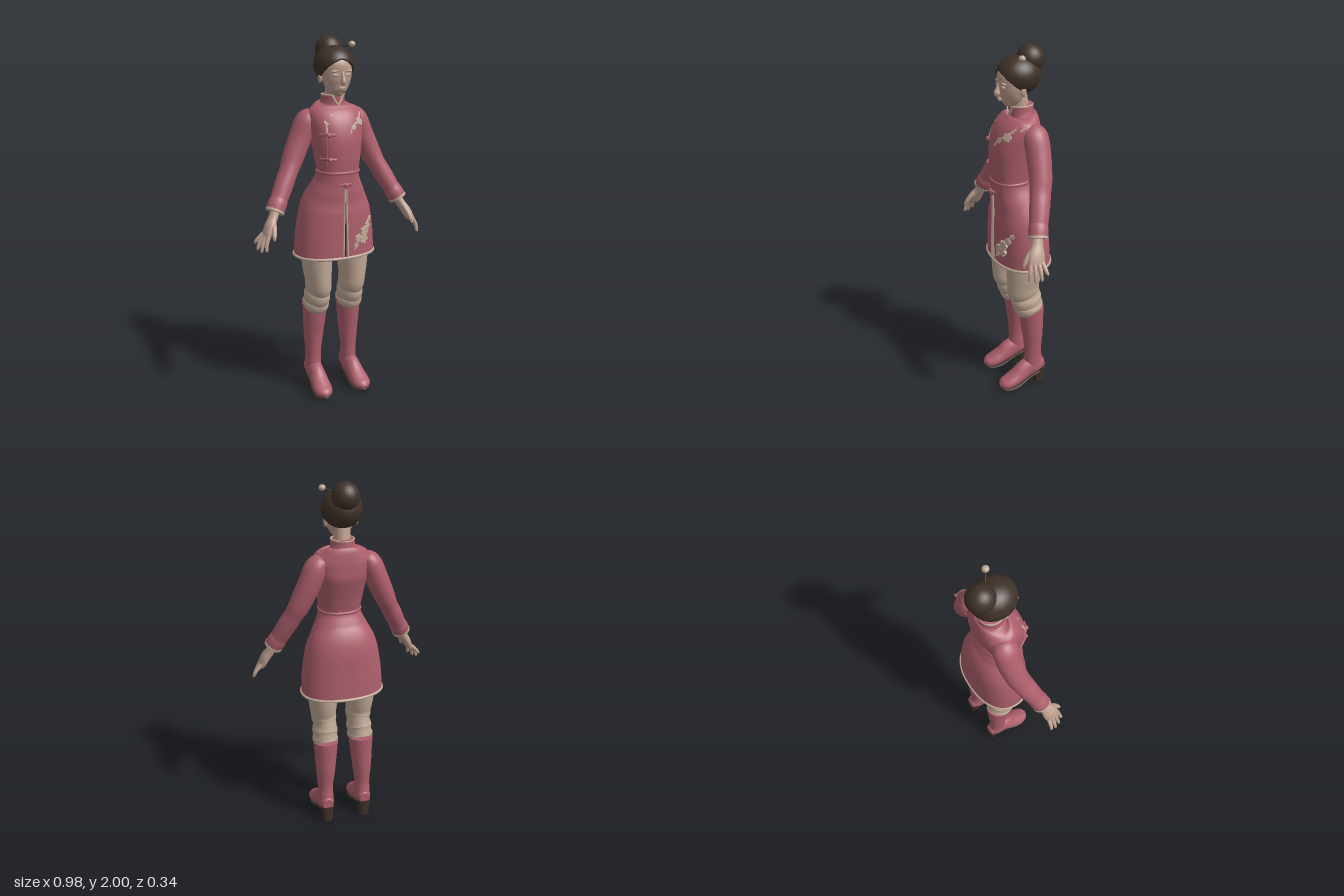
import * as THREE from 'three';

const mat = (name, color, side = THREE.FrontSide) => {
  const m = new THREE.MeshStandardMaterial({ color, side });
  m.name = name;
  return m;
};
const V = (x, y, z) => new THREE.Vector3(x, y, z);

// Smoothly resample sections [x, y, z, radiusAcross, radiusAlongRef]
function resample(sections, steps) {
  const centre = new THREE.CatmullRomCurve3(sections.map(s => V(s[0], s[1], s[2])), false, 'catmullrom', 0.5);
  const radius = new THREE.CatmullRomCurve3(sections.map(s => V(s[3], s[4], 0)), false, 'catmullrom', 0.5);
  return Array.from({ length: steps + 1 }, (_, i) => {
    const t = i / steps, r = radius.getPoint(t);
    return { c: centre.getPoint(t), t: centre.getTangent(t), a: r.x, b: r.y };
  });
}

// Capped skin over elliptical sections; e < 1 squares the ellipse
function loft(sections, { ref = V(0, 0, 1), sides = 28, steps = sections.length * 5, e = 1 } = {}) {
  const rows = resample(sections, steps);
  const first = rows[0], last = rows[steps];
  const all = [{ ...first, a: 0, b: 0 }, first, ...rows, last, { ...last, a: 0, b: 0 }];
  const pos = [], idx = [];
  const pw = v => Math.sign(v) * Math.abs(v) ** e;
  all.forEach((r, i) => {
    const n = ref.clone().addScaledVector(r.t, -ref.dot(r.t)).normalize();
    const across = n.clone().cross(r.t);
    for (let j = 0; j < sides; j++) {
      const q = (j / sides) * Math.PI * 2;
      const p = r.c.clone().addScaledVector(across, r.a * pw(Math.cos(q))).addScaledVector(n, r.b * pw(Math.sin(q)));
      pos.push(p.x, p.y, p.z);
      if (i < all.length - 1) {
        const k = (j + 1) % sides, A = i * sides, B = A + sides;
        idx.push(A + j, A + k, B + k, A + j, B + k, B + j);
      }
    }
  });
  const g = new THREE.BufferGeometry();
  g.setAttribute('position', new THREE.Float32BufferAttribute(pos, 3));
  g.setIndex(idx);
  g.computeVertexNormals();
  return g;
}

export function createModel() {
  const group = new THREE.Group();
  const coat = mat('coat rose', 0xad5f6c), cream = mat('cream cloth', 0xbfa895);
  const skin = mat('skin', 0xbd9f8e), brown = mat('dark brown', 0x3e3128);
  const add = (name, geo, material) => {
    const m = new THREE.Mesh(geo, material);
    m.name = name;
    group.add(m);
    return m;
  };
  const ball = (name, p, s, material) => {
    const m = add(name, new THREE.SphereGeometry(1, 24, 16), material);
    m.position.set(...p);
    m.scale.set(...s);
    return m;
  };
  const tube = (name, pts, r, material, closed = false) =>
    add(name, new THREE.TubeGeometry(new THREE.CatmullRomCurve3(pts, closed), closed ? 64 : 24, r, 8, closed), material);

  // Coat body
  const coatSections = [
    [0, 0.82, -0.01, 0.23, 0.155], [0, 0.95, -0.007, 0.222, 0.15], [0, 1.1, -0.002, 0.195, 0.142],
    [0, 1.2, 0.022, 0.15, 0.118], [0, 1.28, 0.037, 0.115, 0.102], [0, 1.36, 0.035, 0.122, 0.11],
    [0, 1.46, 0.022, 0.137, 0.122], [0, 1.54, 0, 0.15, 0.12], [0, 1.6, -0.022, 0.15, 0.097],
    [0, 1.635, -0.032, 0.115, 0.077], [0, 1.655, -0.03, 0.07, 0.06]];
  const E = 0.88;
  add('coat', loft(coatSections, { sides: 56, steps: 70, e: E }), coat);

  // Point on the coat front at a given x and y, lifted by d
  const rows = resample(coatSections, 200);
  const rowAt = y => rows.reduce((p, r) => (Math.abs(r.c.y - y) < Math.abs(p.c.y - y) ? r : p));
  const front = (x, y, d = 0) => {
    const r = rowAt(y), u = Math.min(Math.abs(x / r.a), 0.96);
    return V(x, y, r.c.z + r.b * (1 - u ** (2 / E)) ** (E / 2) + d);
  };
  const around = (y, grow) => {
    const r = rowAt(y), pw = v => Math.sign(v) * Math.abs(v) ** E;
    return Array.from({ length: 40 }, (_, i) => {
      const q = (i / 40) * Math.PI * 2;
      return V((r.a + grow) * pw(Math.cos(q)), y, r.c.z + (r.b + grow) * pw(Math.sin(q)));
    });
  };
  tube('hemTrim', around(0.825, 0), 0.008, cream, true);
  tube('waistSeam', around(1.295, -0.002), 0.009, coat, true);

  // Front slit with a trimmed edge on each side
  const line = (f, y0, y1, d) => Array.from({ length: 10 }, (_, i) => front(f(i / 9), y0 + (y1 - y0) * i / 9, d));
  tube('slitGap', line(() => 0, 1.2, 0.825, -0.002), 0.005, brown);
  for (const s of [-1, 1]) tube('slitTrim', line(t => s * (0.004 + 0.01 * t), 1.21, 0.825, 0.001), 0.006, cream);

  // Collar and side opening
  add('collar', loft([[0, 1.63, -0.028, 0.078, 0.072], [0, 1.66, -0.025, 0.066, 0.067], [0, 1.695, -0.022, 0.062, 0.066]]), coat);
  const rim = new THREE.TorusGeometry(1, 0.08, 8, 40);
  const collarTrim = add('collarTrim', rim, cream);
  collarTrim.rotation.x = Math.PI / 2;
  collarTrim.position.set(0, 1.695, -0.022);
  collarTrim.scale.set(0.06, 0.064, 0.06);
  for (const s of [-1, 1])
    tube('collarEdge', [V(s * 0.03, 1.695, 0.036), V(s * 0.018, 1.67, 0.042), V(s * 0.004, 1.645, 0.046)], 0.007, cream);
  tube('openingTrim', [[0, 1.64], [-0.04, 1.615], [-0.075, 1.59], [-0.092, 1.55], [-0.095, 1.51]].map(p => front(...p, 0.002)), 0.008, cream);
  tube('openingSeam', line(() => -0.095, 1.51, 1.31, -0.001), 0.004, coat);

  // Knot fastenings
  for (const [x, y, m] of [[-0.09, 1.5, coat], [-0.085, 1.37, coat], [0, 1.232, coat], [-0.06, 1.595, cream]]) {
    tube('knotLoop', [front(x - 0.033, y, 0.002), front(x, y + 0.005, 0.008), front(x + 0.033, y, 0.002)], 0.008, m);
    ball('knotButton', front(x, y, 0.012).toArray(), [0.012, 0.012, 0.01], m);
  }

  // Blossom sprays
  const petals = new THREE.Shape(Array.from({ length: 40 }, (_, i) => {
    const q = (i / 40) * Math.PI * 2, r = 0.65 + 0.35 * Math.abs(Math.cos(2.5 * q));
    return new THREE.Vector2(r * Math.cos(q), r * Math.sin(q));
  }));
  const petalGeo = new THREE.ExtrudeGeometry(petals, { depth: 0.3, bevelSize: 0.1, bevelThickness: 0.15, bevelSegments: 2 });
  const blossom = (x, y, size) => {
    const m = add('blossom', petalGeo, cream), p = front(x, y), h = 0.006;
    m.position.copy(p);
    const zx = (front(x + h, y).z - front(x - h, y).z) / (2 * h), zy = (front(x, y + h).z - front(x, y - h).z) / (2 * h);
    m.lookAt(p.clone().add(V(-zx, -zy, 1)));
    m.scale.setScalar(size);
  };
  const spray = (x0, y0, x1, y1, flowers) => {
    const at = (t, o) => [x0 + (x1 - x0) * t - o * 0.7, y0 + (y1 - y0) * t + o * 0.7];
    tube('branch', [0, 0.25, 0.5, 0.75, 1].map((t, i) => front(...at(t, i % 2 ? 0.006 : -0.004), 0.004)), 0.006, cream);
    flowers.forEach(([t, o, r]) => blossom(...at(t, o), r));
  };
  spray(0.025, 1.505, 0.135, 1.62, [[0.25, 0, 0.016], [0.42, 0.012, 0.02], [0.55, -0.014, 0.024], [0.72, 0.012, 0.024], [0.9, -0.004, 0.016]]);
  spray(0.05, 0.87, 0.17, 1.035, [[0.12, 0, 0.014], [0.3, 0.012, 0.022], [0.38, -0.02, 0.027], [0.55, 0, 0.027], [0.74, -0.004, 0.019], [0.93, 0, 0.014]]);
  blossom(-0.04, 1.612, 0.018);
  blossom(-0.082, 1.568, 0.02);

  // Paired limbs
  for (const s of [-1, 1]) {
    const side = s > 0 ? 'left' : 'right';
    const limb = (name, secs, m, opt) => add(side + name, loft(secs.map(([x, ...r]) => [s * x, ...r]), opt), m);
    limb('Sleeve', [[0.105, 1.59, -0.04, 0.035, 0.045], [0.145, 1.562, -0.04, 0.058, 0.066], [0.185, 1.47, -0.04, 0.061, 0.065],
      [0.235, 1.36, -0.028, 0.057, 0.06], [0.265, 1.3, -0.012, 0.05, 0.056], [0.3, 1.235, 0.008, 0.051, 0.054], [0.36, 1.122, 0.045, 0.044, 0.046]], coat);
    limb('Cuff', [[0.335, 1.17, 0.03, 0.046, 0.048], [0.35, 1.142, 0.039, 0.051, 0.052], [0.368, 1.11, 0.049, 0.049, 0.05]], coat);
    limb('CuffTrim', [[0.365, 1.115, 0.047, 0.051, 0.052], [0.371, 1.104, 0.05, 0.051, 0.052]], cream);

    // Hand
    limb('Palm', [[0.355, 1.13, 0.045, 0.025, 0.028], [0.385, 1.075, 0.06, 0.024, 0.032], [0.41, 1.035, 0.075, 0.024, 0.043],
      [0.43, 0.995, 0.085, 0.019, 0.043], [0.437, 0.98, 0.087, 0.01, 0.036]], skin);
    const fingers = [[0.428, 0.118, 0.45, 0.918, 0.135], [0.434, 0.097, 0.468, 0.91, 0.108],
      [0.438, 0.076, 0.479, 0.918, 0.077], [0.436, 0.056, 0.481, 0.945, 0.047]];
    for (const [x, z, tx, ty, tz] of fingers)
      limb('Finger', [[x, 1.0, z, 0.012, 0.012], [(x + tx) / 2 + 0.007, (1 + ty) / 2, (z + tz) / 2, 0.011, 0.011],
        [tx, ty + 0.008, tz, 0.008, 0.008], [tx, ty, tz, 0.003, 0.003]], skin, { sides: 12 });
    limb('Thumb', [[0.39, 1.065, 0.08, 0.015, 0.017], [0.4, 1.03, 0.118, 0.014, 0.014], [0.408, 0.995, 0.142, 0.011, 0.01],
      [0.411, 0.975, 0.15, 0.004, 0.004]], skin, { sides: 12 });

    // Trouser leg with soft folds at the knee
    limb('Trouser', [[0.1, 0.98, -0.005, 0.085, 0.11], [0.11, 0.84, 0, 0.082, 0.107], [0.108, 0.75, 0.003, 0.079, 0.102],
      [0.105, 0.68, 0.008, 0.071, 0.094], [0.102, 0.64, 0.003, 0.07, 0.094], [0.1, 0.61, -0.008, 0.064, 0.086],
      [0.102, 0.575, -0.015, 0.072, 0.09], [0.103, 0.545, -0.026, 0.068, 0.082], [0.104, 0.525, -0.03, 0.074, 0.085],
      [0.104, 0.505, -0.04, 0.068, 0.075]], cream, { steps: 54 });

    // Boot
    limb('BootShaft', [[0.105, 0.515, -0.042, 0.071, 0.074], [0.107, 0.43, -0.046, 0.064, 0.068], [0.11, 0.33, -0.052, 0.056, 0.059],
      [0.113, 0.22, -0.052, 0.045, 0.05], [0.113, 0.16, -0.055, 0.045, 0.054], [0.113, 0.1, -0.06, 0.046, 0.06]], coat);
    limb('BootFoot', [[0.113, 0.115, -0.118, 0.03, 0.035], [0.113, 0.115, -0.075, 0.045, 0.055], [0.114, 0.1, -0.01, 0.045, 0.06],
      [0.117, 0.066, 0.05, 0.051, 0.047], [0.12, 0.043, 0.105, 0.053, 0.036], [0.12, 0.034, 0.143, 0.04, 0.026],
      [0.12, 0.03, 0.162, 0.014, 0.01]], coat, { ref: V(0, 1, 0) });
    limb('Sole', [[0.113, 0.082, -0.118, 0.03, 0.008], [0.113, 0.066, -0.07, 0.04, 0.01], [0.114, 0.042, -0.01, 0.04, 0.01],
      [0.117, 0.018, 0.05, 0.049, 0.01], [0.12, 0.009, 0.105, 0.05, 0.009], [0.12, 0.011, 0.143, 0.037, 0.009],
      [0.12, 0.018, 0.16, 0.013, 0.006]], brown, { ref: V(0, 1, 0) });
    limb('Heel', [[0.113, 0.095, -0.085, 0.039, 0.039], [0.113, 0.045, -0.088, 0.032, 0.033], [0.113, 0, -0.09, 0.03, 0.031]], brown, { e: 0.7 });

    // Ear and closed eyelid
    ball(side + 'Ear', [s * 0.084, 1.785, 0], [0.01, 0.028, 0.017], skin);
    ball(side + 'Eyelid', [s * 0.034, 1.803, 0.089], [0.018, 0.009, 0.01], skin);
    ball(side + 'Brow', [s * 0.036, 1.824, 0.088], [0.023, 0.007, 0.011], skin).rotation.z = -s * 0.12;
  }

  // Head
  add('neck', loft([[0, 1.62, -0.03, 0.048, 0.05], [0, 1.69, -0.018, 0.044, 0.047], [0, 1.77, 0, 0.046, 0.052]]), skin);
  add('head', loft([[0, 1.697, 0.056, 0.015, 0.018], [0, 1.712, 0.048, 0.042, 0.04], [0, 1.75, 0.033, 0.067, 0.064],
    [0, 1.8, 0.023, 0.081, 0.078], [0, 1.85, 0.014, 0.082, 0.086], [0, 1.9, 0, 0.058, 0.062]], { sides: 40 }), skin);
  add('nose', loft([[0, 1.82, 0.094, 0.008, 0.01], [0, 1.79, 0.101, 0.009, 0.015], [0, 1.768, 0.106, 0.014, 0.02],
    [0, 1.757, 0.098, 0.009, 0.012]], { sides: 16 }), skin);
  for (const [y, w] of [[1.74, 0.021], [1.732, 0.017]]) ball('lip', [0, y, 0.095], [w, 0.006, 0.009], skin);

  // Hair, tucked in below a parted hairline
  const hairGeo = new THREE.SphereGeometry(1, 96, 72).scale(0.106, 0.1, 0.118);
  const p = hairGeo.attributes.position;
  for (let i = 0; i < p.count; i++) {
    const x = p.getX(i), y = p.getY(i), z = p.getZ(i);
    const edge = -0.075 + 0.75 * (z - 0.01) + 0.035 * (1 - Math.abs(x) / 0.1);
    const k = 1 - 0.4 * THREE.MathUtils.smoothstep(edge - y, 0, 0.008);
    p.setXYZ(i, x * k, y * k, z * k);
  }
  hairGeo.computeVertexNormals();
  add('hair', hairGeo, brown).position.set(0, 1.85, -0.01);
  ball('bun', [0, 1.925, -0.077], [0.072, 0.075, 0.074], brown);
  const band = add('bunBand', new THREE.TorusGeometry(0.06, 0.014, 10, 40), brown);
  band.position.set(0, 1.902, -0.058);
  band.rotation.x = Math.PI / 2 - 0.6;

  // Hairpin
  tube('hairpinStem', [V(0, 1.925, -0.05), V(0.05, 1.94, -0.017), V(0.095, 1.955, 0.013)], 0.004, brown);
  ball('hairpinPearl', [0.095, 1.955, 0.013], [0.018, 0.016, 0.018], cream);
  return group;
}
